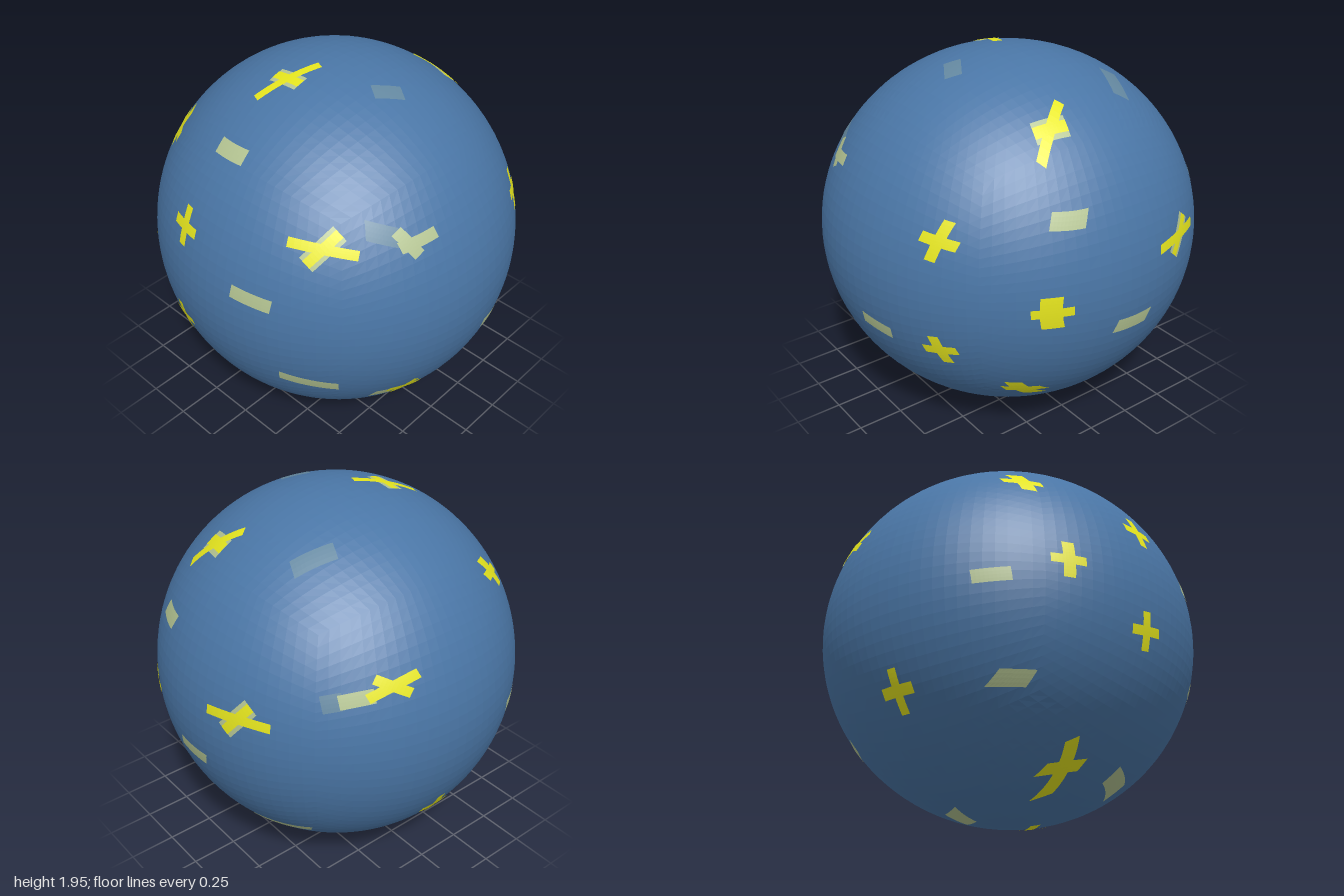
import * as THREE from 'three';
import { mergeGeometries } from 'three/addons/utils/BufferGeometryUtils.js';

const MID = 0.977; // height of the ball's centre
// slightly squashed ball, longest along a horizontal diagonal
const squash = new THREE.Matrix4().makeRotationY(-0.6)
  .multiply(new THREE.Matrix4().makeScale(1.013, MID, 0.972));
const unsquash = squash.clone().invert();
const { degToRad } = THREE.MathUtils;

// painting direction from azimuth (0 = +z, 90 = +x) and elevation in degrees
function aim(az, el) {
  const a = degToRad(az), e = degToRad(el);
  const dir = new THREE.Vector3(Math.sin(a) * Math.cos(e), Math.sin(e), Math.cos(a) * Math.cos(e));
  const right = new THREE.Vector3(Math.cos(a), 0, -Math.sin(a));
  return { dir, right, up: dir.clone().cross(right) };
}

// drop a flat point (u, v) onto the ball along the painting direction
function project(side, u, v, lift) {
  const o = side.right.clone().multiplyScalar(u).addScaledVector(side.up, v);
  const p = o.clone().applyMatrix4(unsquash), d = side.dir.clone().applyMatrix4(unsquash);
  const a = d.dot(d), b = p.dot(d), c = p.dot(p) - 1;
  const t = (-b + Math.sqrt(Math.max(0, b * b - a * c))) / a;
  return o.addScaledVector(side.dir, t).multiplyScalar(lift);
}

// painted bar centred on (u, v), wrapped on the surface
function bar(side, u, v, angle, length, width, lift) {
  const g = new THREE.PlaneGeometry(length, width, 10, 4);
  g.rotateZ(degToRad(angle)).translate(u, v, 0);
  const pos = g.attributes.position;
  for (let i = 0; i < pos.count; i++) {
    const p = project(side, pos.getX(i), pos.getY(i), lift);
    pos.setXYZ(i, p.x, p.y + MID, p.z);
  }
  g.computeVertexNormals();
  return g;
}

// faceted ball: an evenly divided cube blown up onto the squashed sphere
function ballGeometry() {
  const g = new THREE.BoxGeometry(2, 2, 2, 26, 26, 26);
  const pos = g.attributes.position, p = new THREE.Vector3();
  for (let i = 0; i < pos.count; i++) {
    p.fromBufferAttribute(pos, i);
    for (const k of ['x', 'y', 'z']) p[k] = Math.tan(p[k] * Math.PI / 4);
    p.divideScalar(p.clone().applyMatrix4(unsquash).length());
    pos.setXYZ(i, p.x, p.y + MID, p.z);
  }
  g.computeVertexNormals();
  return g;
}

export function createModel() {
  const group = new THREE.Group();
  const add = (name, geometry, colorName, color) => {
    const material = new THREE.MeshStandardMaterial({ color, flatShading: true });
    material.name = colorName;
    const mesh = new THREE.Mesh(geometry, material);
    mesh.name = name;
    group.add(mesh);
  };
  const front = aim(0, 0), right = aim(90, 0), left = aim(270, 0), top = aim(0, 90);
  const frontRight = aim(35, 25), backLeft = aim(215, 25), under = aim(139, -29);
  const yellow = [], pale = [], faint = [];

  // cross of two bars; the long stretched ones have a pale rim
  const cross = (side, u, v, angle = 0, a = 0.18, b = 0.19, skew = 90) => {
    yellow.push(bar(side, u, v, angle, a, 0.048, 1.004));
    yellow.push(bar(side, u, v, angle + skew, b, 0.048, 1.004));
    if (a > 0.28) pale.push(bar(side, u, v, angle + skew, b, 0.09, 1.0025));
  };
  const dash = (side, u, v, angle = 0, length = 0.19, width = 0.07) =>
    pale.push(bar(side, u, v, angle, length, width, 1.0025));
  const smudge = (side, u, v, angle, length) =>
    faint.push(bar(side, u, v, angle, length, 0.085, 1.002));

  cross(front, -0.15, 0.36);
  cross(front, -0.6, 0.035, 0, 0.14);
  cross(front, -0.19, -0.22, 8);
  cross(front, -0.61, 0.56, -15, 0.12, 0.17);
  cross(front, -0.23, -0.82, -51, 0.25, 0.15, 66);
  cross(frontRight, 0.07, 0.065, -7, 0.33, 0.21, 54);
  cross(top, -0.07, -0.26, 69, 0.34, 0.17, -69);
  cross(top, 0.2, 0.59, 35, 0.29, 0.17, -48);
  cross(right, 0.505, 0.31, -10, 0.16);
  cross(right, 0.88, -0.025, 0, 0.09, 0.17);
  cross(right, 0.505, -0.275, 8, 0.15, 0.17);
  cross(right, 0.67, -0.57, -10, 0.1, 0.15);
  cross(right, -0.345, -0.48, -7, 0.18, 0.14, 64);
  cross(under, -0.155, -0.71, 5, 0.19, 0.26);
  cross(backLeft, -0.21, -0.265, -5, 0.35, 0.2, 50);
  cross(backLeft, 0.49, -0.01, 35, 0.24, 0.17, -52);
  cross(left, -0.04, -0.52);

  dash(front, -0.05, 0.72, 3, 0.19, 0.055);
  dash(front, 0.32, 0.19, -5, 0.21);
  dash(front, -0.84, -0.07, 8, 0.1);
  dash(front, -0.665, -0.52, 0, 0.11);
  dash(front, 0.545, -0.31, -13, 0.24);
  dash(front, 0.175, -0.81, -7, 0.21);
  dash(right, 0.17, -0.245, -8);
  dash(right, 0.05, -0.67, -6);
  dash(under, 0.335, 0.75, -12, 0.17, 0.05);
  dash(under, 0.66, 0.17, -25, 0.18);
  dash(under, 0.735, -0.395, -45);
  dash(under, 0.24, -0.8, -12, 0.14, 0.09);

  // faded cross and the smears beside the yellow ones
  dash(right, -0.37, 0.47, -63, 0.13, 0.06);
  dash(right, -0.32, 0.47, 7, 0.19, 0.05);
  dash(right, -0.445, -0.495, -6, 0.1);
  dash(backLeft, 0.345, -0.085, 18, 0.16);
  smudge(top, -0.35, 0.42, 69, 0.21);
  smudge(top, 0.34, 0, 58, 0.15);
  smudge(right, -0.455, 0.525, -24, 0.12);
  smudge(backLeft, 0.24, -0.115, 17, 0.1);

  add('ball', ballGeometry(), 'blue', 0x4a76a6);
  add('crosses', mergeGeometries(yellow), 'yellow', 0xe6e61e);
  add('dashes', mergeGeometries(pale), 'pale green', 0xb4c492);
  add('smudges', mergeGeometries(faint), 'grey blue', 0x6488a0);
  return group;
}
